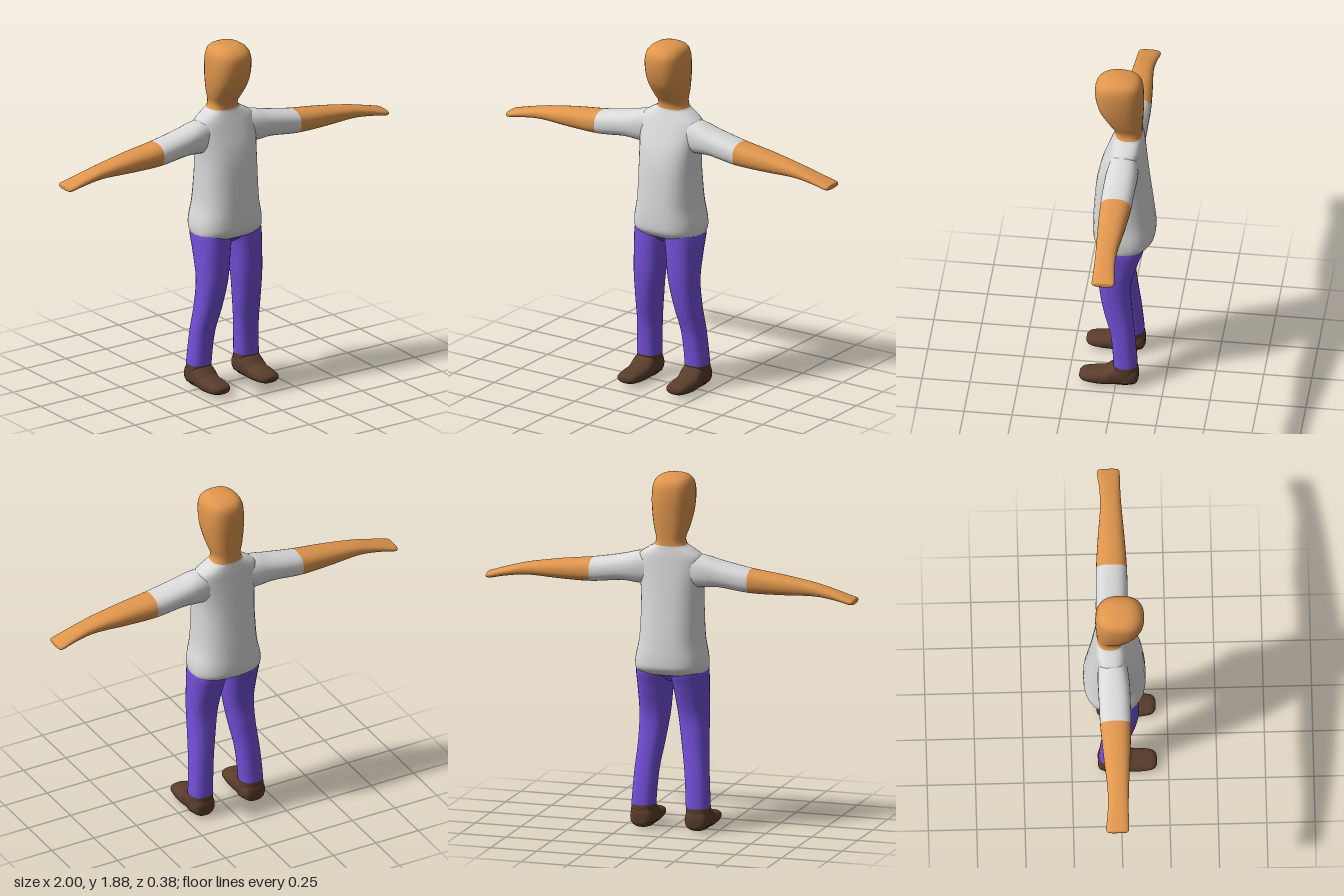
import * as THREE from 'three';

const SIDES = 28, STEPS = 5;

const skin = new THREE.MeshStandardMaterial({ color: 0xe0964d });
skin.name = 'skin';
const shirt = new THREE.MeshStandardMaterial({ color: 0xdadada });
shirt.name = 'shirt';
const trousers = new THREE.MeshStandardMaterial({ color: 0x7350da });
trousers.name = 'trousers';
const leather = new THREE.MeshStandardMaterial({ color: 0x5a3d2c });
leather.name = 'leather';

// Smooth curve through the stations, one value at a time
function sample(stations, index, f) {
  const at = (i) => stations[Math.min(Math.max(i, 0), stations.length - 1)];
  return stations[0].map((_, k) => {
    const [p0, p1, p2, p3] = [-1, 0, 1, 2].map((d) => at(index + d)[k]);
    const m1 = (p2 - p0) / 2, m2 = (p3 - p1) / 2, f2 = f * f, f3 = f2 * f;
    return p1 * (2 * f3 - 3 * f2 + 1) + m1 * (f3 - 2 * f2 + f) + p2 * (3 * f2 - 2 * f3) + m2 * (f3 - f2);
  });
}

// Skins rounded-square rings along an axis; station = [t, aMin, aMax, bMin, bMax]
// axis 0: (a, b) = (y, z); axis 1: (z, x); axis 2: (x, y). side -1 mirrors in x.
function loft(name, material, stations, axis, { from = 0, to = stations.length - 1, side = 1, power = 2.4 } = {}) {
  const pos = [], idx = [];
  const put = (t, a, b) => {
    const p = [0, 0, 0];
    p[axis] = t;
    p[(axis + 1) % 3] = a;
    p[(axis + 2) % 3] = b;
    pos.push(p[0] * side, p[1], p[2]);
  };
  const tri = (a, b, c) => (side > 0 ? idx.push(a, b, c) : idx.push(a, c, b));
  const soft = (v) => Math.sign(v) * Math.pow(Math.abs(v), 2 / power);
  const rings = (to - from) * STEPS + 1;
  for (let r = 0; r < rings; r++) {
    const i = Math.min(from + Math.floor(r / STEPS), to - 1);
    const [t, a0, a1, b0, b1] = sample(stations, i, r / STEPS - (i - from));
    for (let s = 0; s < SIDES; s++) {
      const q = (s / SIDES) * Math.PI * 2;
      put(t, (a0 + a1) / 2 + soft(Math.cos(q)) * (a1 - a0) / 2, (b0 + b1) / 2 + soft(Math.sin(q)) * (b1 - b0) / 2);
    }
  }
  for (let r = 0; r < rings - 1; r++) {
    for (let s = 0; s < SIDES; s++) {
      const n = (s + 1) % SIDES, o = r * SIDES;
      tri(o + s, o + n, o + SIDES + n);
      tri(o + s, o + SIDES + n, o + SIDES + s);
    }
  }
  // Close the two true ends of the form
  const cap = (station, o, last) => {
    const [t, a0, a1, b0, b1] = station;
    const c = pos.length / 3;
    put(t, (a0 + a1) / 2, (b0 + b1) / 2);
    for (let s = 0; s < SIDES; s++) {
      const n = (s + 1) % SIDES;
      if (last) tri(c, o + s, o + n);
      else tri(c, o + n, o + s);
    }
  };
  if (from === 0) cap(stations[0], 0, false);
  if (to === stations.length - 1) cap(stations[to], (rings - 1) * SIDES, true);
  const g = new THREE.BufferGeometry();
  g.setAttribute('position', new THREE.Float32BufferAttribute(pos, 3));
  g.setIndex(idx);
  g.computeVertexNormals();
  const mesh = new THREE.Mesh(g, material);
  mesh.name = name;
  return mesh;
}

// Hem to crown: y, back, front, right, left
const BODY = [
  [0.832, -0.14, 0.1, 0.183],
  [0.865, -0.182, 0.13, 0.19],
  [0.92, -0.187, 0.136, 0.187],
  [1.02, -0.178, 0.134, 0.168],
  [1.2, -0.156, 0.12, 0.162],
  [1.31, -0.143, 0.097, 0.167],
  [1.4, -0.132, 0.064, 0.178],
  [1.455, -0.126, 0.042, 0.17],
  [1.49, -0.121, 0.028, 0.125],
  [1.515, -0.118, 0.021, 0.085],
  [1.55, -0.118, 0.028, 0.076],
  [1.6, -0.121, 0.062, 0.09],
  [1.67, -0.124, 0.105, 0.103],
  [1.75, -0.125, 0.126, 0.109],
  [1.82, -0.118, 0.125, 0.104],
  [1.855, -0.098, 0.1, 0.086],
  [1.872, -0.06, 0.065, 0.055],
  [1.878, -0.015, 0.025, 0.015],
].map(([y, b, f, w]) => [y, b, f, -w, w]);
const NECKLINE = 9;

// Shoulder to fingertips: x, bottom, top, back, front
const ARM = [
  [0.08, 1.29, 1.475, -0.11, 0.03],
  [0.18, 1.295, 1.462, -0.117, 0.045],
  [0.27, 1.301, 1.438, -0.115, 0.05],
  [0.43, 1.283, 1.407, -0.11, 0.05],
  [0.6, 1.283, 1.385, -0.097, 0.042],
  [0.78, 1.289, 1.354, -0.08, 0.03],
  [0.9, 1.276, 1.322, -0.083, 0.026],
  [0.97, 1.263, 1.3, -0.092, 0.026],
  [0.995, 1.263, 1.292, -0.088, 0.022],
  [1.0, 1.27, 1.285, -0.07, 0.005],
];
const CUFF = 3;

// Ankle to hip: y, back, front, inner, outer
const LEG = [
  [0.03, -0.11, 0.02, 0.083, 0.213],
  [0.125, -0.11, 0.015, 0.085, 0.211],
  [0.3, -0.095, 0.03, 0.073, 0.2],
  [0.45, -0.078, 0.07, 0.05, 0.188],
  [0.6, -0.07, 0.095, 0.027, 0.185],
  [0.75, -0.11, 0.1, 0.009, 0.187],
  [0.84, -0.14, 0.1, -0.005, 0.188],
  [0.9, -0.14, 0.1, -0.01, 0.175],
];

// Heel to toe: z, inner, outer, sole, top
const SHOE = [
  [-0.115, 0.12, 0.18, 0.03, 0.08],
  [-0.1, 0.092, 0.205, 0.01, 0.115],
  [-0.05, 0.083, 0.213, 0, 0.125],
  [0, 0.083, 0.213, 0, 0.128],
  [0.03, 0.085, 0.213, 0, 0.108],
  [0.06, 0.088, 0.213, 0, 0.085],
  [0.12, 0.09, 0.212, 0.006, 0.075],
  [0.17, 0.1, 0.203, 0.015, 0.066],
  [0.19, 0.125, 0.18, 0.03, 0.052],
];

// Crotch joining the legs under the hem
const PELVIS = [
  [0.785, -0.06, 0.03, -0.03, 0.03],
  [0.81, -0.1, 0.07, -0.09, 0.09],
  [0.845, -0.135, 0.1, -0.165, 0.165],
];

export function createModel() {
  const model = new THREE.Group();
  model.name = 'person';
  model.add(
    loft('torso', shirt, BODY, 1, { to: NECKLINE, power: 2.5 }),
    loft('head', skin, BODY, 1, { from: NECKLINE, power: 2.5 }),
    loft('pelvis', trousers, PELVIS, 1),
  );
  for (const side of [1, -1]) {
    const label = side > 0 ? 'left' : 'right';
    model.add(
      loft(label + 'Sleeve', shirt, ARM, 0, { to: CUFF, side }),
      loft(label + 'Forearm', skin, ARM, 0, { from: CUFF, side }),
      loft(label + 'Ankle', leather, LEG, 1, { to: 1, side }),
      loft(label + 'TrouserLeg', trousers, LEG, 1, { from: 1, side }),
      loft(label + 'Shoe', leather, SHOE, 2, { side }),
    );
  }
  return model;
}
